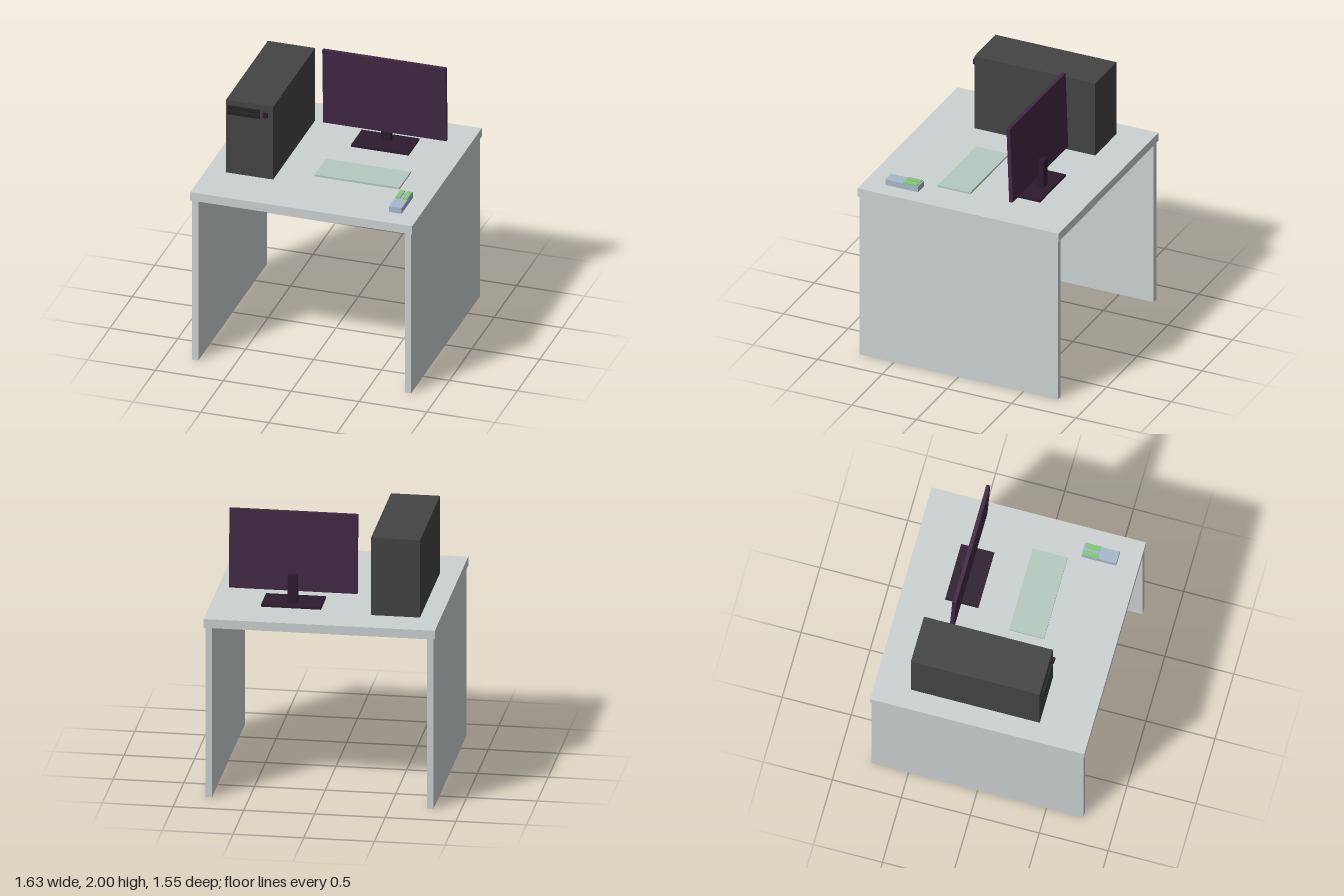
import * as THREE from 'three';

const mat = (color) => new THREE.MeshStandardMaterial({ color });

export function createModel() {
  const model = new THREE.Group();
  model.name = 'computerDesk';

  const wood = mat(0xccd2d2);
  const caseGrey = mat(0x444444);
  const slotGrey = mat(0x242424);
  const screenPurple = mat(0x412844);
  const standPurple = mat(0x2c1b2e);
  const keyGreen = mat(0xb4cac0);
  const mouseBlue = mat(0xa8b9ca);
  const buttonGreen = mat(0x82ca7a);

  // Box given by its extent along each axis
  function box(name, parent, material, [x0, x1], [y0, y1], [z0, z1]) {
    const mesh = new THREE.Mesh(new THREE.BoxGeometry(x1 - x0, y1 - y0, z1 - z0), material);
    mesh.position.set((x0 + x1) / 2, (y0 + y1) / 2, (z0 + z1) / 2);
    mesh.name = name;
    parent.add(mesh);
    return mesh;
  }
  function group(name) {
    const g = new THREE.Group();
    g.name = name;
    model.add(g);
    return g;
  }
  const top = 1.325; // height of the work surface

  // Desk: slab on two side panels
  const desk = group('desk');
  box('deskTop', desk, wood, [-0.817, 0.817], [1.26, top], [-0.777, 0.777]);
  box('leftPanel', desk, wood, [0.76, 0.807], [0, 1.26], [-0.767, 0.767]);
  box('rightPanel', desk, wood, [-0.807, -0.76], [0, 1.26], [-0.767, 0.767]);

  // Computer tower, with drive bays and power button standing just off its front
  const tower = group('tower');
  box('towerCase', tower, caseGrey, [-0.673, -0.326], [top, 1.898], [-0.52, 0.414]);
  for (const y of [1.8, 1.838]) {
    box('driveBay', tower, slotGrey, [-0.652, -0.418], [y, y + 0.028], [0.424, 0.441]);
  }
  box('powerButton', tower, standPurple, [-0.396, -0.36], [1.813, 1.849], [0.424, 0.441]);

  // Monitor: base, post and a screen leaning slightly forward
  const monitor = group('monitor');
  box('monitorBase', monitor, standPurple, [0.036, 0.46], [top, 1.341], [-0.465, -0.225]);
  box('monitorPost', monitor, standPurple, [0.212, 0.281], [1.341, 1.548], [-0.407, -0.356]);
  const screen = box('screen', monitor, screenPurple, [-0.207, 0.701], [1.42, 2], [-0.358, -0.33]);
  screen.rotation.x = 0.036;

  // Keyboard slab
  box('keyboard', model, keyGreen, [-0.066, 0.559], [top, 1.339], [0.026, 0.279]);

  // Mouse with two raised buttons
  const mouse = group('mouse');
  box('mouseBody', mouse, mouseBlue, [0.595, 0.688], [top, 1.368], [0.37, 0.622]);
  for (const x of [0.598, 0.653]) {
    box('mouseButton', mouse, buttonGreen, [x, x + 0.034], [1.36, 1.377], [0.379, 0.488]);
  }

  return model;
}
